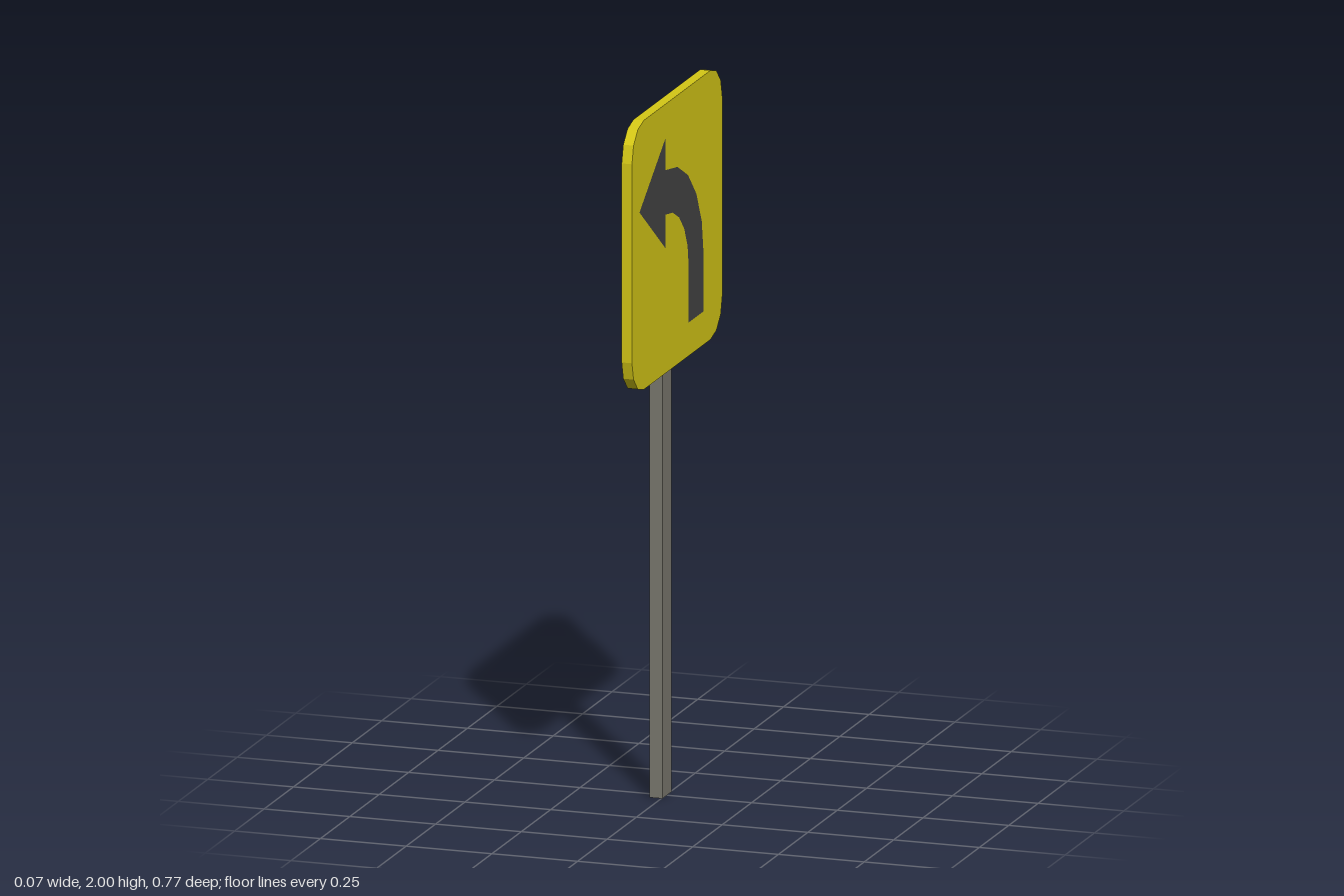
import * as THREE from 'three';

const PANEL_BACK = 0.003, PANEL_DEPTH = 0.03;

// Points along a circular arc, angles in quarter turns
function arc(cx, cy, r, from, to, segments) {
  return Array.from({ length: segments + 1 }, (_, i) => {
    const a = (from + (to - from) * i / segments) * Math.PI / 2;
    return new THREE.Vector2(cx + r * Math.cos(a), cy + r * Math.sin(a));
  });
}

function makePart(name, geometry, color, side = THREE.FrontSide) {
  const mesh = new THREE.Mesh(geometry,
    new THREE.MeshStandardMaterial({ color, flatShading: true, side }));
  mesh.name = name;
  return mesh;
}

export function createModel() {
  const group = new THREE.Group();
  group.name = 'roadSign';

  // Square post, open at its foot
  const post = new THREE.BoxGeometry(0.038, 1.848, 0.076);
  const index = Array.from(post.index.array);
  index.splice(18, 6); // bottom face
  post.setIndex(index);
  post.translate(-0.016, 0.924, 0);
  group.add(makePart('post', post, 0x7a786e, THREE.DoubleSide));

  // Panel with rounded corners, facing +x
  const half = 0.384, radius = 0.1, midY = 1.616, c = half - radius;
  const outline = [[1, 1], [-1, 1], [-1, -1], [1, -1]].flatMap(([sx, sy], i) =>
    arc(sx * c, midY + sy * c, radius, i, i + 1, 3));
  const panel = new THREE.ExtrudeGeometry(new THREE.Shape(outline),
    { depth: PANEL_DEPTH, bevelEnabled: false });
  panel.rotateY(Math.PI / 2).translate(PANEL_BACK, 0, 0);
  group.add(makePart('signPanel', panel, 0xd4c716));

  // Curved arrow lying on the panel face
  const bendX = -0.1, bendY = 1.49, footY = 1.328, outer = 0.322, inner = 0.195;
  const v = (x, y) => new THREE.Vector2(x, y);
  const arrowShape = new THREE.Shape([
    v(bendX + inner, footY), v(bendX + outer, footY),
    ...arc(bendX, bendY, outer, 0, 1, 5),
    v(bendX, 1.905), v(-0.323, 1.747), v(bendX, 1.588),
    ...arc(bendX, bendY, inner, 1, 0, 5),
  ]);
  const arrow = new THREE.ShapeGeometry(arrowShape);
  arrow.rotateY(Math.PI / 2).translate(PANEL_BACK + PANEL_DEPTH + 0.001, 0, 0);
  group.add(makePart('turnArrow', arrow, 0x444444));

  return group;
}
